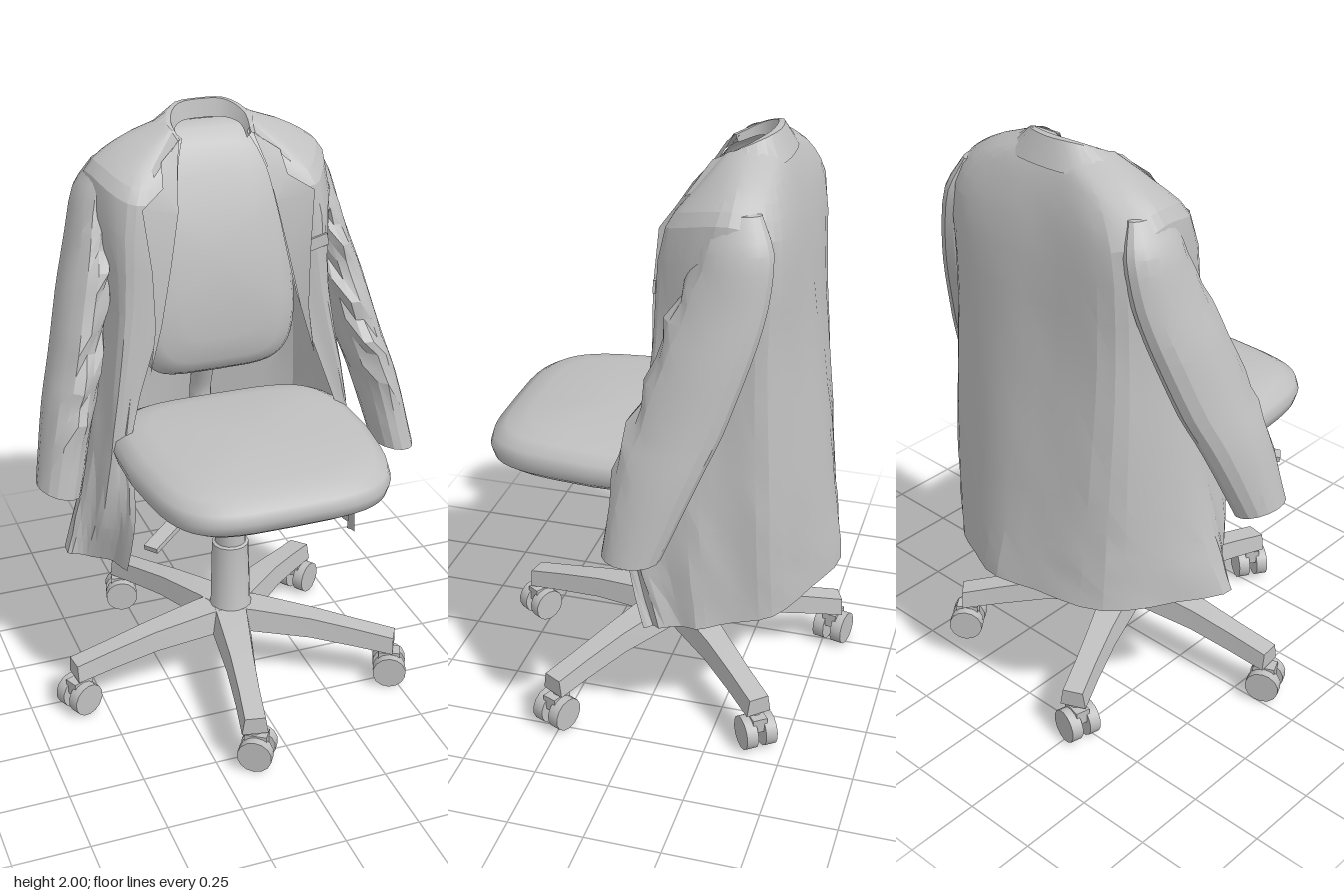
import * as THREE from 'three';
import { toCreasedNormals } from 'three/addons/utils/BufferGeometryUtils.js';

const grey = new THREE.MeshStandardMaterial({ color: 0xc0c0c0, side: THREE.DoubleSide });
grey.name = 'grey';
const V = (x, y, z) => new THREE.Vector3(x, y, z);

let seed = 7;
const rnd = () => { seed = (seed * 16807) % 2147483647; return seed / 2147483647 - 0.5; };

// Skin between rows of points; closed joins each row into a ring
function loft(rows, closed, crease = 0.6) {
  const n = rows[0].length, pos = [], idx = [];
  rows.forEach(r => r.forEach(p => pos.push(p.x, p.y, p.z)));
  for (let i = 0; i < rows.length - 1; i++) {
    for (let j = 0; j < (closed ? n : n - 1); j++) {
      const k = (j + 1) % n, a = i * n + j, b = i * n + k, c = a + n, d = b + n;
      idx.push(a, c, b, b, c, d);
    }
  }
  const g = new THREE.BufferGeometry();
  g.setAttribute('position', new THREE.Float32BufferAttribute(pos, 3));
  g.setIndex(idx);
  return toCreasedNormals(g, crease);
}

function add(parent, name, geo, x = 0, y = 0, z = 0) {
  const m = new THREE.Mesh(geo, grey);
  m.name = name;
  m.position.set(x, y, z);
  parent.add(m);
  return m;
}

// Rounded cushion: a squarish outline swept through [height, inset] steps
function cushion(halfA, halfB, power, steps, place) {
  const rows = steps.map(([h, inset]) => Array.from({ length: 48 }, (_, i) => {
    const t = i / 48 * Math.PI * 2, c = Math.cos(t), s = Math.sin(t), e = 2 / power;
    const k = inset >= 1 ? 0 : 1;
    return place(k * (halfA - inset) * Math.sign(c) * Math.abs(c) ** e,
      k * (halfB - inset) * Math.sign(s) * Math.abs(s) ** e, h);
  }));
  return loft(rows, true, 1.0);
}

// Bar through rectangular sections [along, halfWidth, bottom, top], closed at both ends
function bar(sections) {
  const rows = sections.map(([r, w, b, t]) => [V(r, b, -w), V(r, b, w), V(r, t, w * 0.78), V(r, t, -w * 0.78)]);
  const end = ([r, , b, t]) => Array(4).fill(V(r, (b + t) / 2, 0));
  return loft([end(sections[0]), ...rows, end(sections.at(-1))], true, 0.4);
}

function buildBase() {
  const base = new THREE.Group();
  base.name = 'base';
  base.position.set(-0.018, 0, -0.016);
  const yaws = [0.1, 1.2, 0.3, 0.9, -0.1];
  for (let i = 0; i < 5; i++) {
    const arm = new THREE.Group();
    arm.name = 'arm';
    arm.rotation.y = -(29.5 + 72 * i) * Math.PI / 180;
    add(arm, 'leg', bar([[0, 0.07, 0.2, 0.28], [0.1, 0.066, 0.195, 0.275], [0.3, 0.05, 0.18, 0.25],
      [0.46, 0.044, 0.155, 0.22], [0.59, 0.044, 0.135, 0.195]]));
    // Twin wheel caster
    const caster = new THREE.Group();
    caster.name = 'caster';
    caster.position.x = 0.565;
    caster.rotation.y = yaws[i];
    add(caster, 'casterStem', new THREE.CylinderGeometry(0.02, 0.02, 0.07, 10), 0, 0.125, 0);
    add(caster, 'casterHousing', new THREE.BoxGeometry(0.075, 0.05, 0.05), 0.01, 0.1, 0);
    for (const s of [-1, 1]) {
      const wheel = new THREE.CylinderGeometry(0.058, 0.058, 0.04, 14).rotateX(Math.PI / 2);
      add(caster, 'wheel', toCreasedNormals(wheel, 0.6), 0.012, 0.062, s * 0.034);
    }
    arm.add(caster);
    base.add(arm);
  }
  // Hub and telescopic column
  const profile = [[0, 0.19], [0.07, 0.195], [0.085, 0.25], [0.07, 0.285], [0.064, 0.52], [0.054, 0.525],
    [0.05, 0.64], [0.037, 0.645], [0.035, 0.76], [0.055, 0.765], [0.055, 0.82], [0, 0.82]];
  const column = new THREE.LatheGeometry(profile.map(p => new THREE.Vector2(...p)), 14);
  add(base, 'column', toCreasedNormals(column, 0.6), 0.006, 0, 0.006);
  return base;
}

function buildSeat() {
  const seat = new THREE.Group();
  seat.name = 'seat';
  add(seat, 'seatCushion', cushion(0.42, 0.41, 4.2,
    [[0.865, 1], [0.86, 0.12], [0.875, 0.05], [0.905, 0.01], [0.94, 0], [0.975, 0.01], [1.0, 0.05], [1.015, 0.12], [1.022, 1]],
    (x, z, y) => V(x * (1 - 0.1 * Math.max(0, z) / 0.41), y - 0.08 * Math.max(0, z) ** 2, z + 0.16)));
  // Backrest leans away towards the top
  add(seat, 'backrest', cushion(0.285, 0.41, 4.6,
    [[-0.11, 1], [-0.11, 0.05], [-0.08, 0.01], [-0.05, 0], [-0.02, 0.02], [-0.005, 0.06], [0, 0.14], [0.004, 1]],
    (x, y, h) => V(x * (1 - 0.12 * (y + 0.41)) - 0.01, y + 1.525, h - 0.09 - 0.42 * (y + 0.26) ** 2)));
  // Mechanism below the seat
  add(seat, 'mechanism', new THREE.BoxGeometry(0.2, 0.05, 0.3), 0, 0.845, 0);
  const strutPath = new THREE.CatmullRomCurve3([V(-0.01, 0.84, -0.1), V(-0.01, 0.85, -0.27), V(-0.01, 0.95, -0.32), V(-0.01, 1.12, -0.27), V(-0.01, 1.35, -0.2)]);
  add(seat, 'backStrut', new THREE.TubeGeometry(strutPath, 16, 0.04, 8));
  // Height lever with a flat paddle
  const a = V(-0.06, 0.84, 0.06), b = V(-0.29, 0.785, 0.22);
  add(seat, 'leverRod', new THREE.TubeGeometry(new THREE.LineCurve3(a, b), 1, 0.012, 6));
  const paddle = add(seat, 'leverPaddle', new THREE.BoxGeometry(0.05, 0.018, 0.16), -0.34, 0.772, 0.275);
  paddle.lookAt(a);
  return seat;
}

function buildJacket() {
  const jacket = new THREE.Group();
  jacket.name = 'jacket';

  // Left half outlines from the front edge round to the centre back, neck to hem
  const half = [
    [[.11, 1.92, -.18], [.14, 1.95, -.21], [.14, 1.965, -.27], [.09, 1.965, -.33], [0, 1.965, -.345]],
    [[.14, 1.85, -.13], [.24, 1.87, -.15], [.3, 1.9, -.28], [.24, 1.89, -.37], [0, 1.9, -.38]],
    [[.16, 1.75, -.08], [.31, 1.76, -.07], [.4, 1.815, -.28], [.33, 1.76, -.41], [0, 1.75, -.425]],
    [[.23, 1.4, -.04], [.34, 1.4, -.04], [.39, 1.4, -.2], [.35, 1.4, -.41], [0, 1.4, -.47]],
    [[.36, 1.0, -.01], [.41, 1.0, -.02], [.42, 1.0, -.2], [.36, 1.0, -.43], [0, 1.0, -.53]],
    [[.41, .72, .035], [.44, .72, -.02], [.44, .72, -.22], [.36, .72, -.44], [.01, .72, -.565]],
    [[.47, .44, -.04], [.465, .45, -.1], [.45, .465, -.24], [.34, .49, -.45], [.03, .54, -.59]],
  ];
  // The right side hangs wider and further forward: [front edge, panel, side, back corner]
  const rightX = [[.11, .14, .14, .09], [.14, .24, .3, .24], [.16, .31, .4, .34], [.23, .34, .39, .36],
    [.35, .4, .44, .36], [.36, .44, .5, .35], [.37, .47, .56, .35]];
  const rightShift = [0, 0, 0, 0, 0.04, 0.08, 0.12];
  const rows = half.map((r, i) => [
    ...r.slice(0, 4).map((p, j) => V(-rightX[i][j], p[1] + (i === 6 ? [.02, .05, .06, .03][j] : 0),
      p[2] + (j === 2 ? rightShift[i] : 0))),
    ...r.map(p => V(...p)).reverse(),
  ]);
  const columns = rows[0].map((_, j) => new THREE.CatmullRomCurve3(rows.map(r => r[j])));
  const body = [];
  for (let i = 0; i <= 18; i++) {
    const f = i / 18, curve = new THREE.CatmullRomCurve3(columns.map(c => c.getPoint(f)));
    body.push(Array.from({ length: 45 }, (_, j) => {
      const p = curve.getPoint(j / 44);
      // Hanging folds deepen towards the hem
      const ripple = 0.009 * f * Math.sin(j * 1.15 + 0.8 * f) + 0.008 * f * rnd();
      return p.addScaledVector(V(p.x, 0, p.z + 0.25).normalize(), ripple);
    }));
  }
  add(jacket, 'coatBody', loft(body, false, 0.25));

  // Folded collar standing round the neck
  const collarRows = [
    [[.11, 1.9, -.18], [.11, 1.93, -.25], [.07, 1.94, -.3], [0, 1.94, -.315]],
    [[.12, 1.92, -.17], [.125, 1.965, -.25], [.08, 1.995, -.31], [0, 2, -.325]],
    [[.13, 1.92, -.16], [.14, 1.965, -.25], [.09, 1.995, -.325], [0, 1.998, -.345]],
    [[.23, 1.83, -.1], [.225, 1.925, -.26], [.14, 1.92, -.36], [0, 1.92, -.385]],
  ].map(r => {
    const left = r.map(p => V(...p)), right = r.slice(0, 3).map(p => V(-p[0], p[1], p[2]));
    return new THREE.CatmullRomCurve3([...right, ...left.reverse()]).getPoints(20);
  });
  add(jacket, 'collar', loft(collarRows, false, 0.4));

  for (const s of [-1, 1]) {
    // Notched lapel folded back along the front edge
    const inner = [[.125, 1.92, -.165], [.15, 1.83, -.11], [.165, 1.72, -.06], [.2, 1.55, -.035], [.24, 1.36, -.02], [.285, 1.2, -.01]];
    const outer = [[.2, 1.87, -.12], [.21, 1.8, -.075], [.29, 1.75, -.04], [.27, 1.55, -.015], [.265, 1.36, -.01], [.287, 1.19, -.008]];
    const strip = [inner, outer].map(r => r.map(p => V(s * p[0], p[1], p[2])));
    add(jacket, 'lapel', loft(strip, false, 0.3));

    // Sleeve sections: x, y, z, half width, half depth
    const sections = [[.34, 1.84, -.29, .035, .075], [.372, 1.74, -.3, .065, .11], [.405, 1.58, -.27, .073, .135], [.45, 1.4, -.215, .08, .148],
      [.5, 1.2, -.155, .08, .145], [.545, 1.05, -.105, .078, .133], [.602, .795, -.04, .072, .095]];
    const centre = new THREE.CatmullRomCurve3(sections.map(q => V(q[0], q[1], q[2])));
    const size = new THREE.CatmullRomCurve3(sections.map(q => V(q[3], q[4], 0)));
    const sleeve = [];
    for (let i = 0; i <= 18; i++) {
      const f = i / 18, c = centre.getPoint(f), r = size.getPoint(f);
      sleeve.push(Array.from({ length: 16 }, (_, j) => {
        const t = j / 16 * Math.PI * 2, cx = Math.cos(t), cz = Math.sin(t);
        // Creases gather on the inner front of the elbow
        const crumple = Math.max(0, cz * 0.8 - cx * 0.4) * Math.sin(f * Math.PI);
        const k = 1 + crumple * (0.1 * Math.sin(i * 2.3 + j) + 0.25 * rnd());
        const lift = s < 0 ? 0.035 * (1 + cx * 0.6) : -0.01 * cx;
        return V(s * (c.x + r.x * cx * k), c.y + lift * f, c.z + r.y * cz * k);
      }));
    }
    sleeve.unshift(sleeve[0].map(() => V(s * 0.33, 1.855, -0.29)));
    add(jacket, 'sleeve', loft(sleeve, true, 0.35));
  }

  // Breast pocket welt
  const pocket = add(jacket, 'breastPocket', new THREE.BoxGeometry(0.08, 0.04, 0.008), 0.3, 1.57, -0.035);
  pocket.rotation.set(0, 0.1, 0.2);
  return jacket;
}

export function createModel() {
  const model = new THREE.Group();
  model.name = 'officeChairWithJacket';
  model.add(buildBase(), buildSeat(), buildJacket());
  return model;
}
